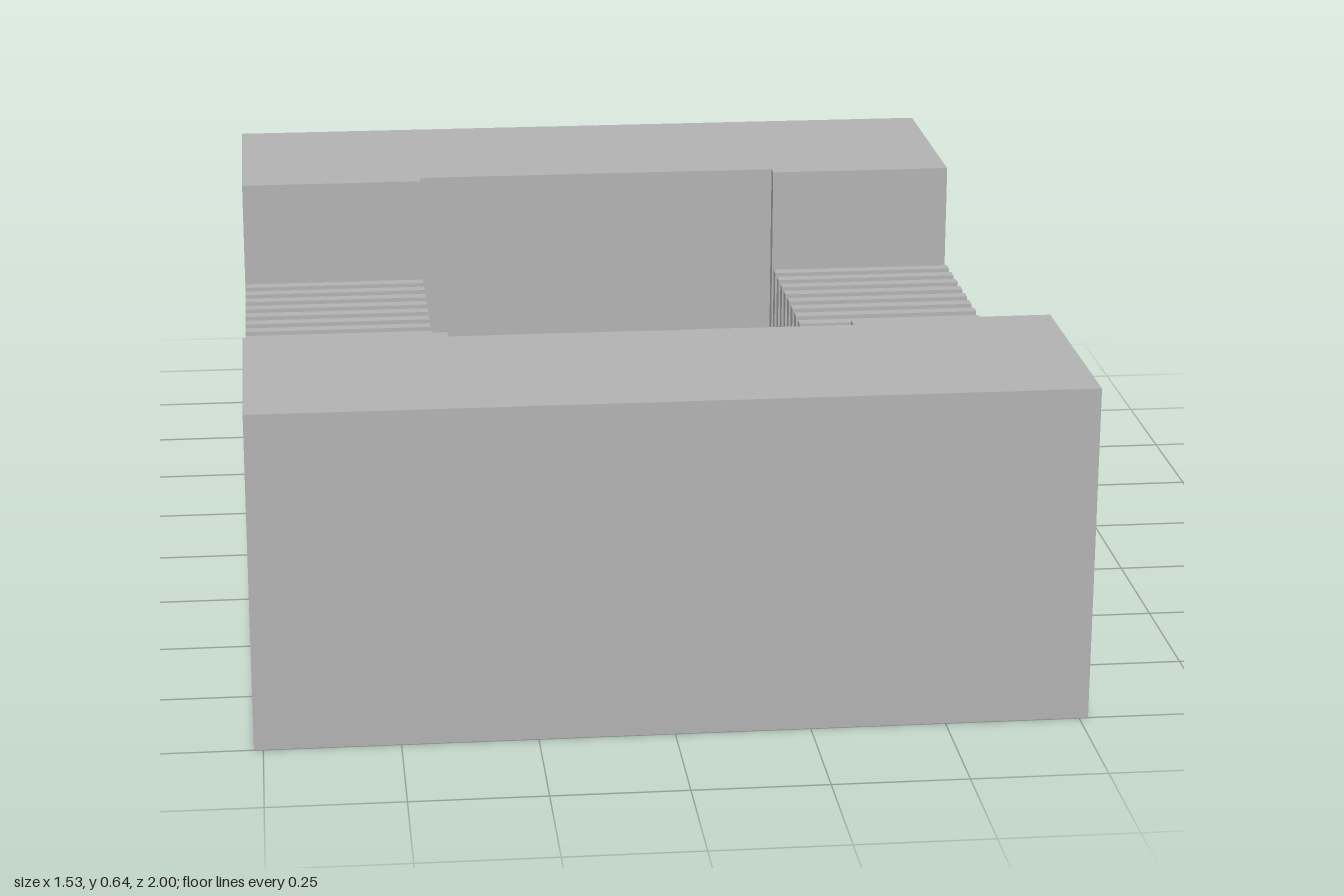
import * as THREE from 'three';

const W = 0.767, L = 1, H = 0.64;              // half width, half length, height
const PIT_X = W / 2, PIT_Z = 0.575, FLOOR = 0.142;
const SILL = 0.213, FIN_TOP = 0.427;
const FINS = 20, STEP = 0.0267, NOTCH = STEP * (FINS * 2 + 1) / 2;

// Extrudes a plan shape (x, -z) upward from y0 to y1
function extrudeUp(shape, y0, y1) {
  const geo = new THREE.ExtrudeGeometry(shape, { depth: y1 - y0, bevelEnabled: false });
  return geo.rotateX(-Math.PI / 2).translate(0, y0, 0);
}

function polygon(points) {
  return new THREE.Shape(points.map(([x, y]) => new THREE.Vector2(x, y)));
}

function rect(x, y) {
  return [[-x, -y], [x, -y], [x, y], [-x, y]];
}

export function createModel() {
  const group = new THREE.Group();
  const grey = new THREE.MeshStandardMaterial({ color: 0xb2b2b2 });
  grey.name = 'grey';

  const add = (name, geo) => {
    const mesh = new THREE.Mesh(geo, grey);
    mesh.name = name;
    group.add(mesh);
    return mesh;
  };

  // Floor slab under the pit
  add('base', extrudeUp(polygon(rect(W, L)), 0, FLOOR));

  // Low rim around the pit, up to the sills
  const rim = polygon(rect(W, L));
  rim.holes.push(polygon(rect(PIT_X, PIT_Z).reverse()));
  add('rim', extrudeUp(rim, FLOOR, SILL));

  // Tall end blocks, each with the pit cut slightly into its inner face
  const end = polygon([
    [-W, NOTCH], [-PIT_X, NOTCH], [-PIT_X, PIT_Z], [PIT_X, PIT_Z],
    [PIT_X, NOTCH], [W, NOTCH], [W, L], [-W, L],
  ]);
  add('backBlock', extrudeUp(end, SILL, H));
  add('frontBlock', extrudeUp(end, SILL, H)).rotation.y = Math.PI;

  // Rows of upright fins on both sills
  const fin = new THREE.BoxGeometry(W - PIT_X, FIN_TOP - SILL, STEP);
  for (const side of [-1, 1]) {
    for (let i = 0; i < FINS; i++) {
      const mesh = add(side > 0 ? 'leftFin' : 'rightFin', fin);
      mesh.position.set(side * (W + PIT_X) / 2, (SILL + FIN_TOP) / 2, -NOTCH + STEP * (2 * i + 1.5));
    }
  }
  return group;
}
